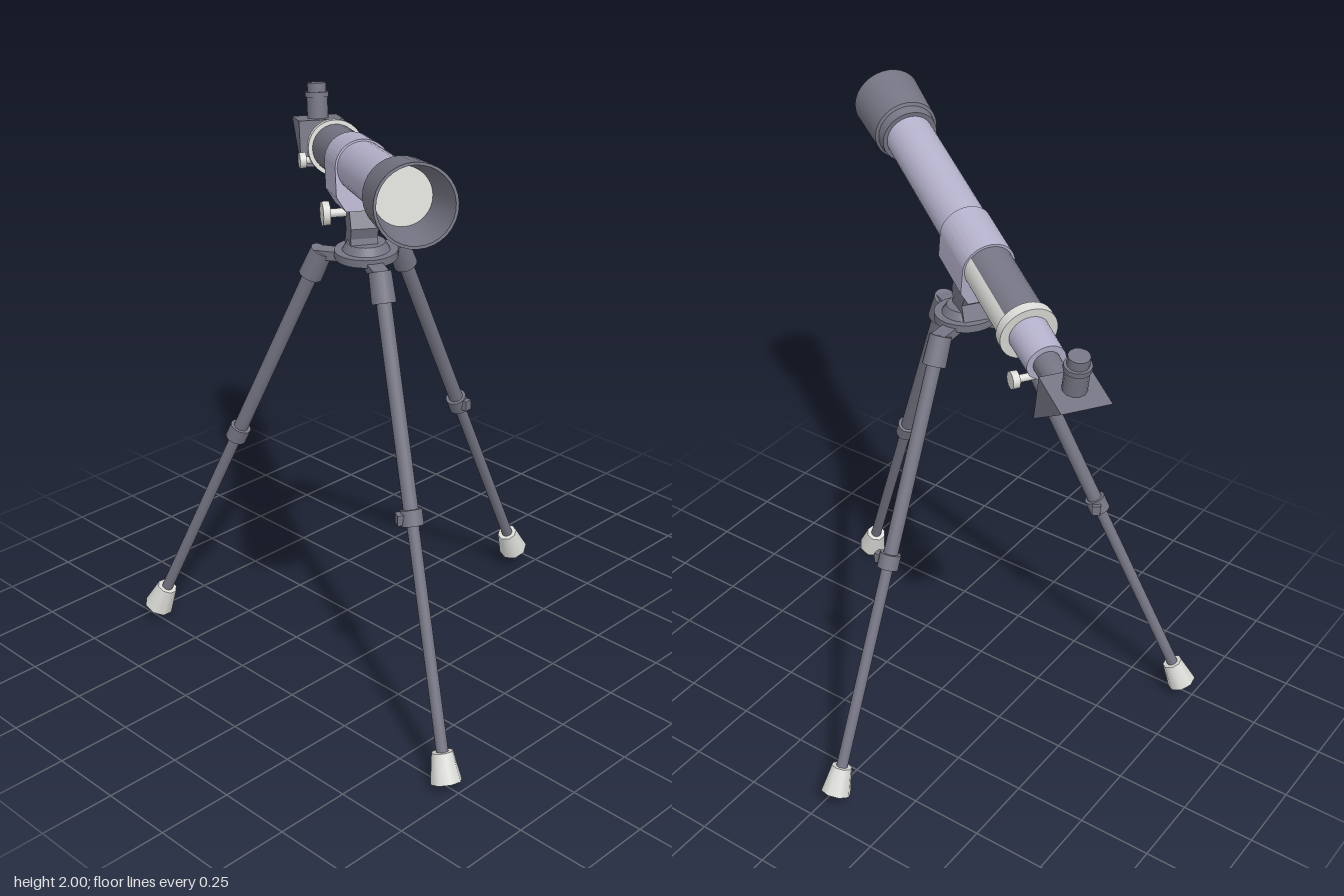
import * as THREE from 'three';
import { toCreasedNormals } from 'three/addons/utils/BufferGeometryUtils.js';

const material = (name, color, side = THREE.FrontSide) => {
  const m = new THREE.MeshStandardMaterial({ color, side });
  m.name = name;
  return m;
};

export function createModel() {
  const lavender = material('lavender', 0xb5b2cc);
  const dark = material('darkGrey', 0x757584);
  const white = material('offWhite', 0xdcdcd9, THREE.DoubleSide);
  const model = new THREE.Group();
  model.name = 'telescope';

  const add = (parent, name, geo, mat) => {
    const mesh = new THREE.Mesh(geo, mat);
    mesh.name = name;
    parent.add(mesh);
    return mesh;
  };
  const group = (parent, name) => {
    const g = new THREE.Group();
    g.name = name;
    parent.add(g);
    return g;
  };
  // Tapered rod between two points
  const rod = (parent, name, a, b, ra, rb, mat, sides = 16, open = false) => {
    const from = new THREE.Vector3(...a), to = new THREE.Vector3(...b);
    const dir = to.clone().sub(from);
    const mesh = add(parent, name, new THREE.CylinderGeometry(rb, ra, dir.length(), sides, 1, open), mat);
    mesh.position.copy(from).add(to).multiplyScalar(0.5);
    mesh.quaternion.setFromUnitVectors(new THREE.Vector3(0, 1, 0), dir.normalize());
    return mesh;
  };
  // Turned part along the optical axis: pairs of [radius, distance behind the front]
  const turned = (parent, name, profile, mat) => {
    const pts = profile.map(([r, s]) => new THREE.Vector2(r, s));
    const geo = new THREE.LatheGeometry(pts, 32).rotateX(-Math.PI / 2);
    return add(parent, name, toCreasedNormals(geo, 0.5), mat);
  };
  // Side profile in [z, y], extruded across x
  const sideProfile = (parent, name, points, width, mat) => {
    const shape = new THREE.Shape(points.map(([z, y]) => new THREE.Vector2(z, y)));
    const geo = new THREE.ExtrudeGeometry(shape, { depth: width, bevelEnabled: false });
    return add(parent, name, geo.translate(0, 0, -width / 2).rotateY(-Math.PI / 2), mat);
  };

  const heading = THREE.MathUtils.degToRad(-34);

  // Optical tube, origin at the centre of the front opening
  const tube = group(model, 'opticalTube');
  tube.position.set(-0.614, 1.885, 0.668);
  tube.rotation.set(THREE.MathUtils.degToRad(-9.5), heading, 0, 'YXZ');

  turned(tube, 'lensHood', [[0.08, 0.2], [0.107, 0], [0.115, 0], [0.108, 0.195],
    [0.098, 0.2], [0.094, 0.235], [0.078, 0.235]], dark);
  add(tube, 'frontLens', new THREE.CircleGeometry(0.084, 32).translate(0, 0, -0.175), white);
  turned(tube, 'frontTube', [[0, 0.2], [0.08, 0.2], [0.08, 0.8], [0, 0.8]], lavender);
  turned(tube, 'rearTube', [[0, 0.78], [0.078, 0.78], [0.078, 1.27], [0, 1.27]], dark);
  turned(tube, 'rearRing', [[0.06, 1.252], [0.092, 1.252], [0.092, 1.286], [0.06, 1.286]], white);
  turned(tube, 'focusTube', [[0, 1.27], [0.064, 1.27], [0.062, 1.42], [0, 1.42]], lavender);
  turned(tube, 'drawTube', [[0, 1.4], [0.042, 1.4], [0.042, 1.54], [0, 1.54]], dark);

  // Pale panel wrapped on one side of the rear tube
  const panel = new THREE.CylinderGeometry(0.0795, 0.0795, 0.3, 24, 1, true,
    THREE.MathUtils.degToRad(52), THREE.MathUtils.degToRad(113));
  add(tube, 'sidePanel', panel.rotateX(-Math.PI / 2).translate(0, 0, -1.105), white);

  // Saddle: round over the tube, tapering to a flat foot below
  const saddle = new THREE.Shape();
  saddle.moveTo(-0.058, -0.132);
  saddle.lineTo(0.058, -0.132);
  saddle.lineTo(0.086, -0.085);
  saddle.lineTo(0.086, 0);
  saddle.absarc(0, 0, 0.086, 0, Math.PI, false);
  saddle.lineTo(-0.086, -0.085);
  const saddleGeo = new THREE.ExtrudeGeometry(saddle, { depth: 0.2, bevelEnabled: false, curveSegments: 20 });
  add(tube, 'saddle', toCreasedNormals(saddleGeo.translate(0, 0, -0.96), 0.5), lavender);

  // Focus knobs on a cross shaft
  rod(tube, 'focusShaft', [-0.09, -0.055, -1.405], [0.09, -0.055, -1.405], 0.012, 0.012, white, 12);
  for (const side of [-1, 1])
    rod(tube, 'focusKnob', [side * 0.08, -0.055, -1.405], [side * 0.102, -0.055, -1.405], 0.027, 0.027, white);

  // Diagonal prism and eyepiece
  sideProfile(tube, 'diagonalPrism', [[-1.534, 0.062], [-1.697, 0.062], [-1.534, -0.097]].reverse(), 0.156, dark);
  const eyepiece = group(tube, 'eyepiece');
  for (const [y0, y1, r] of [[0.06, 0.135, 0.037], [0.135, 0.152, 0.042], [0.152, 0.183, 0.033]])
    rod(eyepiece, 'eyepieceSection', [0, y0, -1.608], [0, y1, -1.608], r, r, dark, 12);

  // Mount neck with its clamp knob
  const mount = group(model, 'mount');
  mount.position.set(-0.16, 0, 0);
  mount.rotation.y = heading;
  sideProfile(mount, 'mountNeck', [[-0.06, 1.47], [0.065, 1.47], [0.05, 1.53], [0.06, 1.565],
    [0.02, 1.64], [-0.07, 1.63], [-0.055, 1.58], [-0.03, 1.54]].reverse(), 0.085, dark);
  rod(mount, 'clampShaft', [-0.04, 1.592, -0.03], [-0.11, 1.592, -0.03], 0.014, 0.014, white, 12);
  rod(mount, 'clampKnob', [-0.095, 1.592, -0.03], [-0.118, 1.592, -0.03], 0.04, 0.04, white, 8);

  // Tripod, leaning slightly
  const tripod = group(model, 'tripod');
  tripod.position.set(-0.124, 0.008, 0);
  tripod.rotation.set(0.017, 0, 0.027);
  rod(tripod, 'hub', [0, 1.455, 0], [0, 1.48, 0], 0.1, 0.1, dark, 24);
  rod(tripod, 'hubBoss', [0, 1.48, 0], [0, 1.505, 0], 0.075, 0.06, dark, 24);

  const top = new THREE.Vector3(0.145, 1.46, 0);
  const bottom = new THREE.Vector3(0.797, 0.028, 0);
  const at = (t) => top.clone().lerp(bottom, t).toArray();
  for (const angle of [3.4, 117.8, -118.4]) {
    const leg = group(tripod, 'leg');
    leg.rotation.y = THREE.MathUtils.degToRad(angle);
    add(leg, 'legLug', new THREE.BoxGeometry(0.09, 0.03, 0.05).translate(0.115, 1.452, 0), dark);
    rod(leg, 'legSocket', at(0), at(0.062), 0.036, 0.039, dark);
    rod(leg, 'upperLeg', at(0.05), at(0.48), 0.024, 0.024, dark);
    rod(leg, 'legClamp', at(0.463), at(0.495), 0.035, 0.035, dark);
    rod(leg, 'lowerLeg', at(0.485), at(0.95), 0.019, 0.019, dark);
    // Hollow foot with a closed top
    rod(leg, 'foot', at(0.94), at(1), 0.035, 0.051, white, 8, true);
    rod(leg, 'footTop', at(0.94), at(0.944), 0.035, 0.035, white, 8);
    // Small locking tab beside the clamp
    const tab = add(leg, 'clampTab', new THREE.BoxGeometry(0.028, 0.035, 0.028), dark);
    tab.position.set(...at(0.478));
    tab.position.z = 0.035;
  }
  return model;
}
